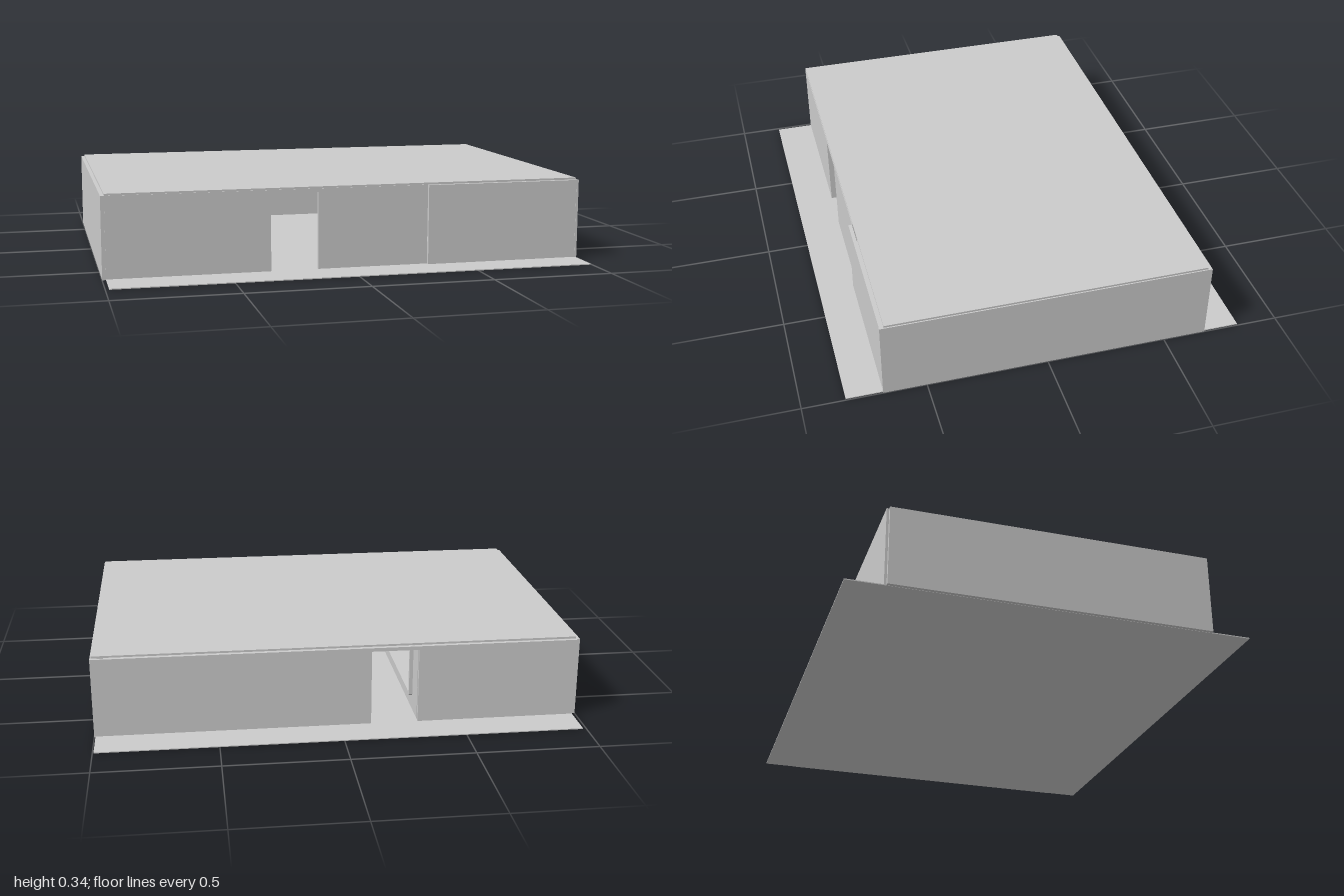
import * as THREE from 'three';

const mat = new THREE.MeshStandardMaterial({ color: 0xcccccc, side: THREE.DoubleSide });
const H = 0.335, T = 0.015;
const DOOR = { x0: -0.325, x1: -0.13, top: 0.32 };

// Box given by its minimum and maximum corners
function block(name, [x0, y0, z0], [x1, y1, z1]) {
  const mesh = new THREE.Mesh(new THREE.BoxGeometry(x1 - x0, y1 - y0, z1 - z0), mat);
  mesh.name = name;
  mesh.position.set((x0 + x1) / 2, (y0 + y1) / 2, (z0 + z1) / 2);
  return mesh;
}

// Rectangle, optionally with cut corners, centred on cx
function rect(Type, halfW, y0, y1, c = 0) {
  const p = new Type();
  p.moveTo(-halfW + c, y0);
  p.lineTo(halfW - c, y0);
  p.lineTo(halfW, y0 + c);
  p.lineTo(halfW, y1 - c);
  p.lineTo(halfW - c, y1);
  p.lineTo(-halfW + c, y1);
  p.lineTo(-halfW, y1 - c);
  p.lineTo(-halfW, y0 + c);
  p.closePath();
  return p;
}

// Panel standing in the yz plane with a rectangular hole, its face at x
function piercedPanel(name, shape, hole, depth, x) {
  shape.holes.push(hole);
  const geo = new THREE.ExtrudeGeometry(shape, { depth, bevelEnabled: false });
  geo.rotateY(Math.PI / 2);
  const mesh = new THREE.Mesh(geo, mat);
  mesh.name = name;
  mesh.position.x = x;
  return mesh;
}

export function createModel() {
  const model = new THREE.Group();
  model.name = 'building';

  // Ground sheet and flat roof
  model.add(block('floor', [-0.985, 0, -0.83], [0.995, 0.004, 0.825]));
  model.add(block('roof', [-0.985, H, -0.662], [0.995, 0.343, 0.658]));

  // End walls
  model.add(block('rightWall', [-1, 0.001, -0.67], [-0.985, H, 0.657]));
  model.add(block('leftWall', [0.99, 0.001, -0.68], [1, H, 0.677]));

  // Front and back walls, each with a doorway and lintel
  for (const [side, z] of [['front', 0.645], ['back', -0.68]]) {
    const wall = new THREE.Group();
    wall.name = side + 'Wall';
    const end = side === 'front' ? 0.335 : 0.99;
    wall.add(block(side + 'WallRight', [-0.985, 0.001, z], [DOOR.x0, H, z + T]));
    wall.add(block(side + 'WallLeft', [DOOR.x1, 0.001, z], [end, H, z + T]));
    wall.add(block(side + 'Lintel', [DOOR.x0, DOOR.top, z], [DOOR.x1, H, z + T]));
    model.add(wall);
  }

  // Front panel set slightly forward
  model.add(block('frontPanel', [0.335, 0.001, 0.661], [0.99, H, 0.676]));

  // Partition beside the passage with a long framed window
  model.add(piercedPanel('partition',
    rect(THREE.Shape, 0.655, 0.004, H), rect(THREE.Path, 0.545, 0.075, 0.275), T, DOOR.x0 - T));
  model.add(piercedPanel('windowFrame',
    rect(THREE.Shape, 0.555, 0.065, 0.285, 0.008), rect(THREE.Path, 0.54, 0.08, 0.27), T, DOOR.x0));

  return model;
}
